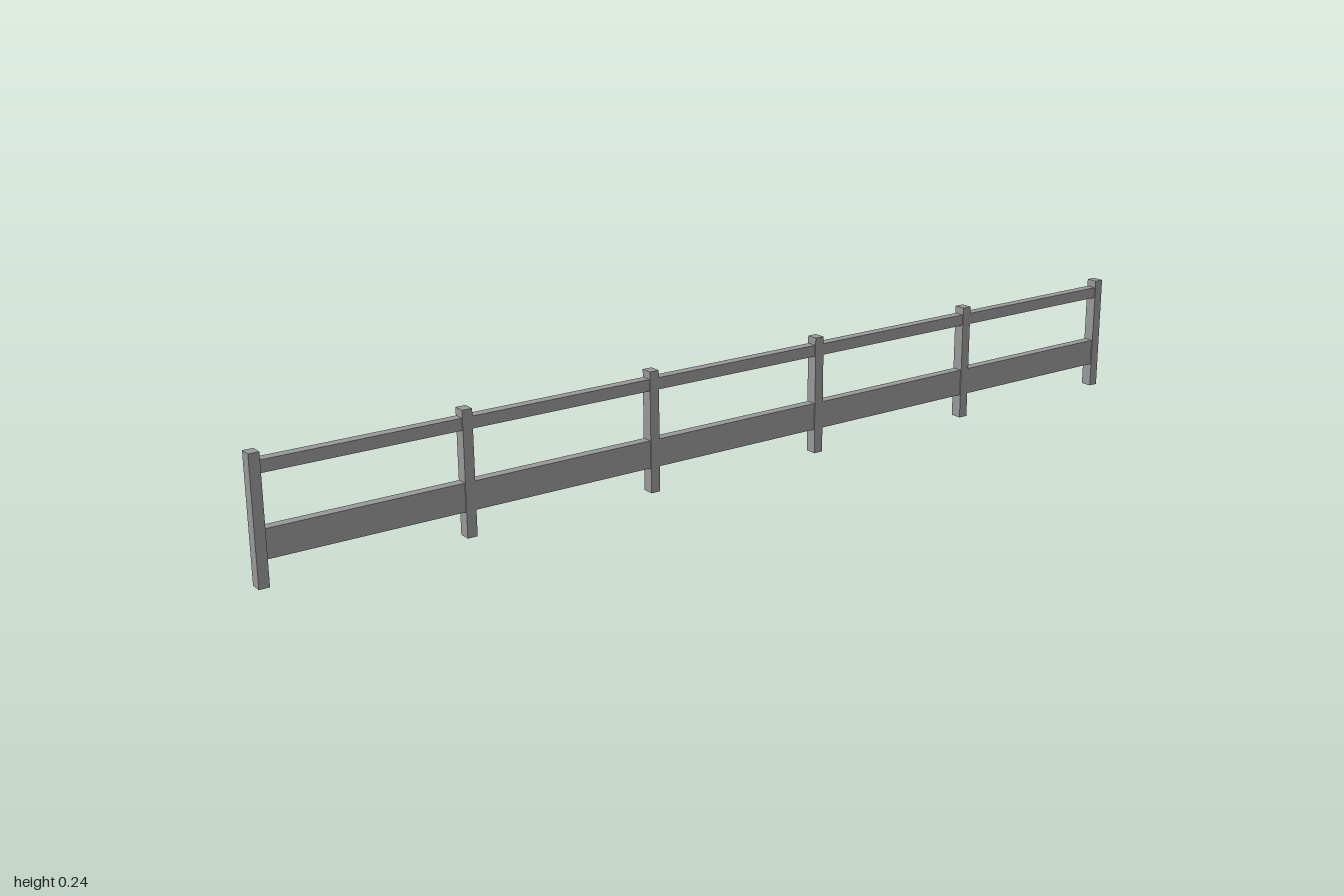
import * as THREE from 'three';

const POSTS = 6, POST_W = 0.02, POST_H = 0.241, POST_D = 0.024;
const RAIL_D = 0.02;
const SPACING = (2 - POST_W) / (POSTS - 1);

export function createModel() {
  const fence = new THREE.Group();
  fence.name = 'fence';
  const material = new THREE.MeshStandardMaterial({ color: 0x999999, flatShading: true });

  // Box spanning bottom..top in y, centred on x
  const addBox = (name, x, width, bottom, top, depth) => {
    const mesh = new THREE.Mesh(new THREE.BoxGeometry(width, top - bottom, depth), material);
    mesh.position.set(x, (bottom + top) / 2, 0);
    mesh.name = name;
    fence.add(mesh);
  };

  // Evenly spaced upright posts
  for (let i = 0; i < POSTS; i++) {
    const x = (i - (POSTS - 1) / 2) * SPACING;
    addBox(`post${i + 1}`, x, POST_W, 0, POST_H, POST_D);
  }

  // Each bay holds a slim top rail and a wide lower board
  for (let i = 0; i < POSTS - 1; i++) {
    const x = (i - (POSTS - 2) / 2) * SPACING;
    const span = SPACING - POST_W;
    addBox(`topRail${i + 1}`, x, span, 0.203, 0.226, RAIL_D);
    addBox(`lowerBoard${i + 1}`, x, span, 0.05, 0.105, RAIL_D);
  }

  return fence;
}
